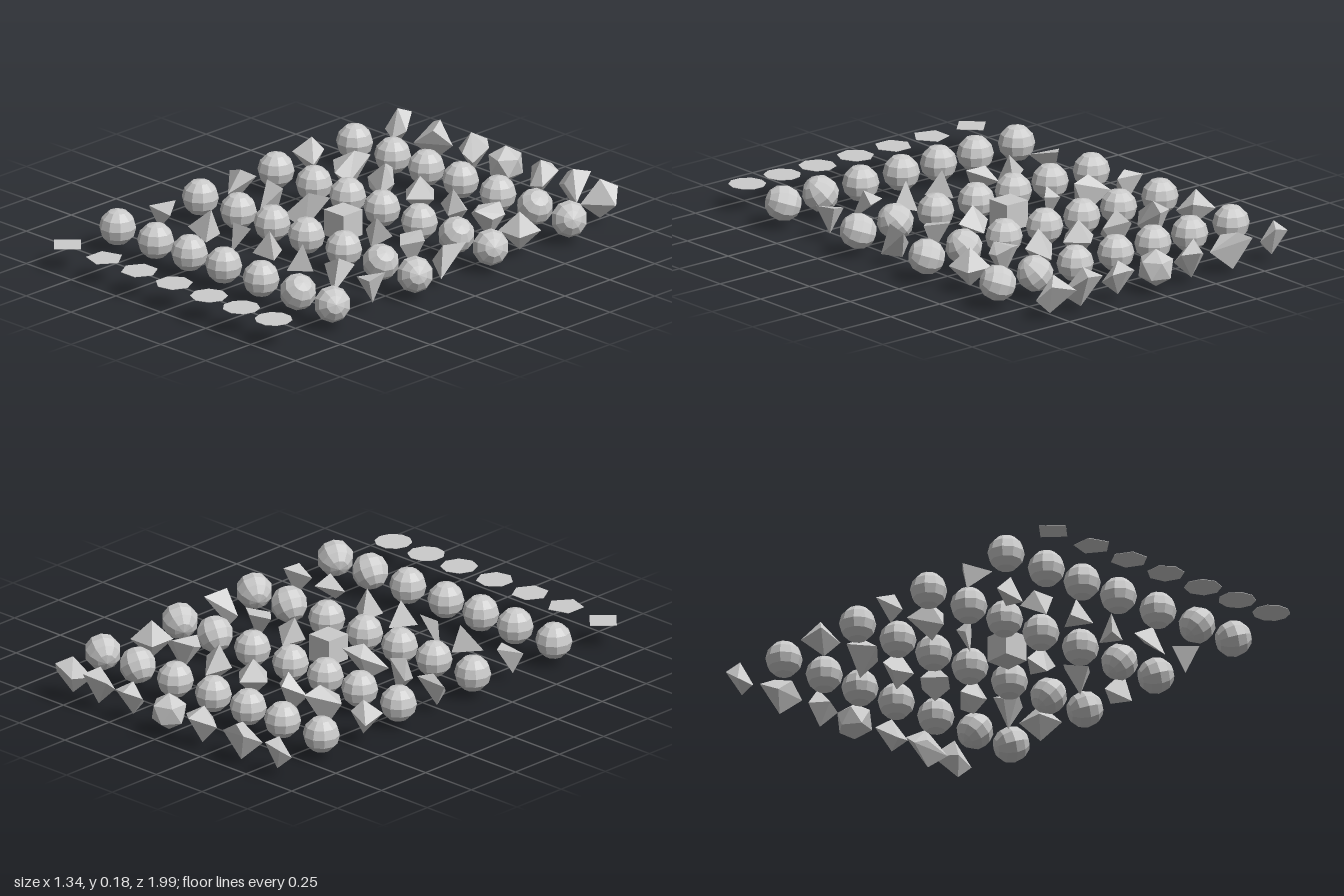
import * as THREE from 'three';
import { ConvexGeometry } from 'three/addons/geometries/ConvexGeometry.js';

const R = 0.074;
const MID = 0.1; // height of every solid's centre

// Irregular solids: corner offsets x, y, z in hundredths; null leaves room for the regular solid
const tetras = [
  [3, 4, -4, 10, 2, 6, -4, 2, 4, 0, -7, 2],
  [-5, -2, 2, 6, -4, -5, 7, -5, 4, 5, 7, -1],
  [-5, -1, -6, 8, 5, -1, 1, -6, 3, -2, 5, -1],
  [0, 7.4, 0, 0, -2.5, -7, 6, -2.5, 3.5, -6, -2.5, 3.5],
  [-3, -5, -5, 5, -3, 0, -5, -4, 5, -1, 7, 0],
  [4, 3, -6, 4, -6, 6, -7, 2, 0, 2, 7, 1],
  [4, 5, -5, 5, 4, 5, -6, 2, 1, 2, -7, 0],
];
const wedges = [
  [-7, 3, -3, 7, 4, -4, 0, -3, 5, -1, -7, -1, 1, 6, -1],
  [-9, 1, -6, 5, 5, 0, -1, -4, 7, 0, -8, -1, -3, 7, 1],
  [-8, -3, 6, -3, 3, -5, 6, 5, -6, 0, 7, 0, -1, -8, 1],
  null,
  [-8, 0, -1, -1, -3, -7, 7, 1, -1, -1, -5, 3, -1, 7, 0],
  [-7, 3, -1, -1, 5, -7, 7, 4, -1, 0, 2, 6, 1, -8, 0],
  [-5, -2, 1, 5, 6, -8, 5, -6, 6, 3, 7, 3, -1, -7, 0],
];
const octas = [
  [-7, 0, -5, 3, 3, -3, 5, -1, 5, -6, 2, 6, -1, 8, 0, 0, -7, 1],
  [-9, 2, 1, 3, 5, -8, 4, -3, 5, 0, 1, 9, -1, -10, 0, 1, 8, -1],
  [-9, 0, 1, -2, 4, -6, 6, 1, 1, 3, -3, 6, -6, -3, 3, 0, 8, 0, -1, -9, 0],
  null,
  [-7, 0, 1, 0, -3, -7, 7, 1, 1, 1, -2, 5, 0, 8, 1, 1, -7, 0],
  [-6, 4, -1, 1, 6, -6, 7, 3, -3, 6, 2, 3, 0, 5, 7, -5, 2, 4, 1, -8, 0],
  [-6, 0, -6, 6, 0, -6, 6, 0, 6, -6, 0, 6, 0, 8, 0, 0, -8, 0],
];
const gems = [
  [-5, 3, -4, 2, 5, -5, 5, -1, 1, 1, -4, 5, -5, -2, 3, -1, 7, 0, 0, -7, 0],
  [-7, 4, -5, -1, 7, -3, 10, 0, 1, 2, 5, 4, -7, -2, 6, -1, -9, 0],
  [-6, 0, 1, 2, 4, -7, 8, 3, -2, 6, -2, 5, 1, 1, 6, 0, 8, 0, 1, -8, 0],
  null,
  [-7, 2, -2, 0, 4, -6, 6, 3, -4, 5, -2, 4, -1, -3, 5, 0, 7, 0, 0, -7, 0],
  [-7, 0, 1, -7, 4, -4, 3, 6, -7, 7, -3, 5, -2, 2, 3, 0, 8, 0, 1, -8, 0],
  [-9, 2, -7, 2, 5, -5, 6, -1, 0, -7, -2, 7, -3, 8, 0, -2, -8, 1],
];

function hull(list) {
  const points = [];
  for (let i = 0; i < list.length; i += 3) {
    points.push(new THREE.Vector3(list[i], list[i + 1], list[i + 2]).multiplyScalar(0.01));
  }
  return new ConvexGeometry(points);
}

export function createModel() {
  const model = new THREE.Group();
  const material = new THREE.MeshStandardMaterial({ color: 0xcccccc, flatShading: true });
  const solidX = [-0.598, -0.39, -0.198, -0.005, 0.19, 0.37, 0.55];
  const sphereX = [-0.598, -0.386, -0.198, -0.007, 0.201, 0.407, 0.598];

  function add(row, name, geometry, x, z) {
    const mesh = new THREE.Mesh(geometry, material);
    mesh.name = name;
    mesh.position.set(x, MID, z);
    row.add(mesh);
    return mesh;
  }
  function addRow(name) {
    const row = new THREE.Group();
    row.name = name;
    model.add(row);
    return row;
  }

  // Front row: thin plates with four to ten sides
  const plates = addRow('plateRow');
  solidX.forEach((x, i) => {
    const plate = new THREE.CylinderGeometry(0.075, 0.075, 0.002, i + 4).rotateY(Math.PI / 2);
    add(plates, 'polygonPlate', plate, x, 0.922);
  });

  // Four rows of faceted spheres, the last two columns tilted
  const ball = new THREE.SphereGeometry(R, 10, 6);
  const up = new THREE.Vector3(0, 1, 0);
  const tilts = { 5: new THREE.Vector3(0.6, 0.75, 0.2), 6: new THREE.Vector3(0.8, 0.3, 0.5) };
  for (const z of [0.643, 0.183, -0.238, -0.675]) {
    const row = addRow('sphereRow');
    sphereX.forEach((x, i) => {
      const sphere = add(row, 'facetedSphere', ball, x, z);
      if (tilts[i]) sphere.quaternion.setFromUnitVectors(up, tilts[i].clone().normalize());
    });
  }

  // Rows of solids between the spheres, each with a regular one in the middle
  const rows = [
    ['tetrahedron', 0.39, tetras, null],
    ['wedge', -0.02, wedges, new THREE.BoxGeometry(0.108, 0.108, 0.108)],
    ['octahedron', -0.447, octas, new THREE.OctahedronGeometry(0.078)],
    ['gem', -0.924, gems, new THREE.IcosahedronGeometry(0.077).rotateZ(-0.5536)],
  ];
  for (const [name, z, shapes, regular] of rows) {
    const row = addRow(name + 'Row');
    shapes.forEach((s, i) => add(row, s ? name : 'regularSolid', s ? hull(s) : regular, solidX[i], z));
  }
  return model;
}
